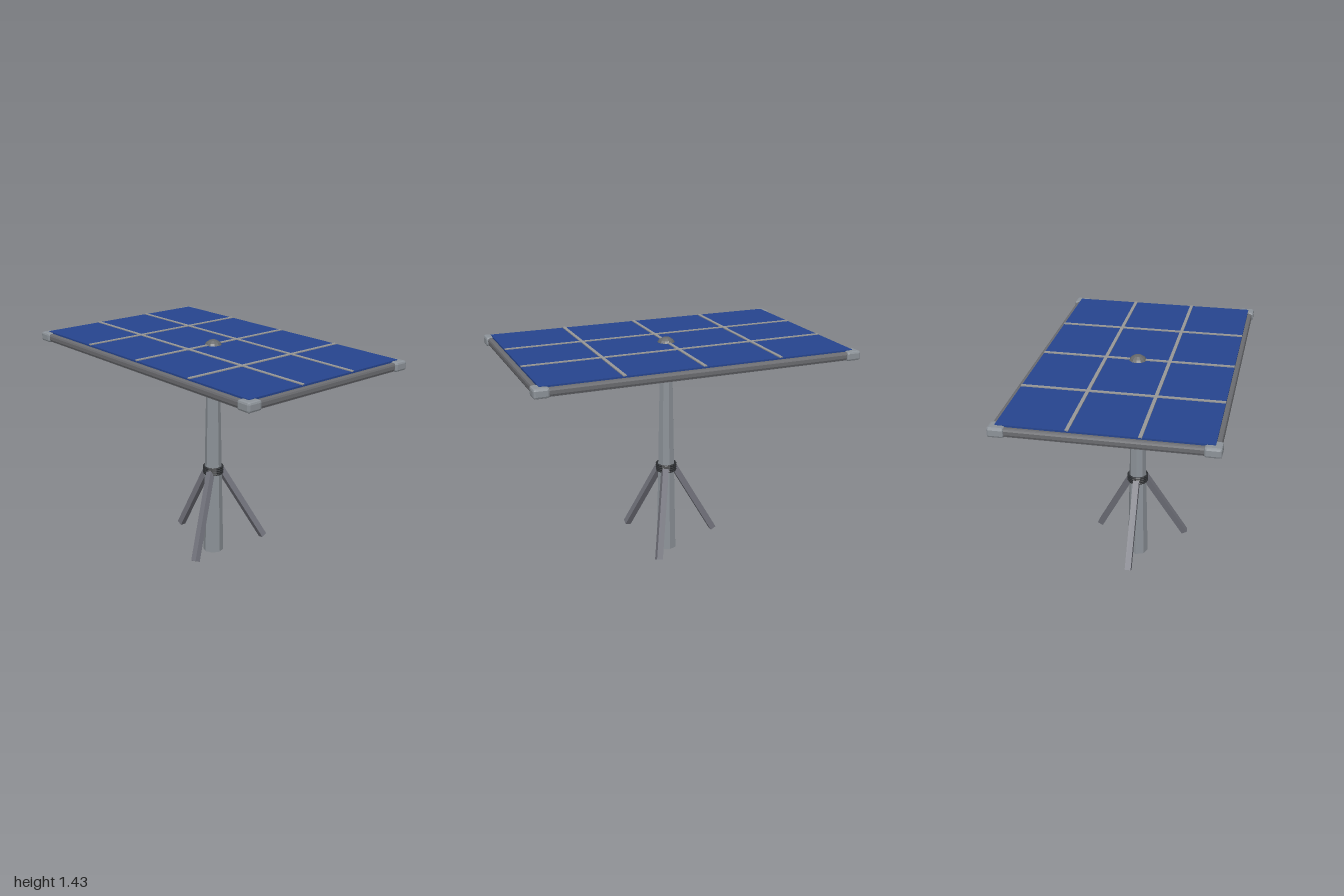
import * as THREE from 'three';
import { RoundedBoxGeometry } from 'three/addons/geometries/RoundedBoxGeometry.js';

const paint = (name, color) => {
  const m = new THREE.MeshStandardMaterial({ color, flatShading: true });
  m.name = name;
  return m;
};

export function createModel() {
  const root = new THREE.Group();
  root.name = 'solarPanelStand';

  const steel = paint('paleSteel', 0x8d9399);
  const strutGrey = paint('strutGrey', 0x74757e);
  const frameGrey = paint('frameGrey', 0x6b6c70);
  const blue = paint('cellBlue', 0x26458f);
  const lineGrey = paint('gridGrey', 0x979797);
  const backing = paint('backingGrey', 0x626368);
  const mount = paint('mountDark', 0x48494b);
  const rubber = paint('rubberBlack', 0x2e3033);
  const domeGrey = paint('domeGrey', 0x66686a);

  const add = (name, geometry, material, x = 0, y = 0, z = 0) => {
    const mesh = new THREE.Mesh(geometry, material);
    mesh.name = name;
    mesh.position.set(x, y, z);
    root.add(mesh);
    return mesh;
  };
  const box = (w, h, d) => new THREE.BoxGeometry(w, h, d);

  // Tapered eight-sided pole with a collar under the panel
  add('pole', new THREE.CylinderGeometry(0.041, 0.067, 1.3, 8), steel, 0, 0.65, 0);
  add('collar', new THREE.CylinderGeometry(0.061, 0.067, 0.047, 8), steel, 0, 1.2895, 0);

  // Stacked clamp rings where the struts meet the pole
  for (let i = 0; i < 4; i++) {
    const ring = add('clampRing', new THREE.TorusGeometry(0.061, 0.0068, 6, 16), rubber, 0, 0.555 + i * 0.0132, 0);
    ring.rotation.x = Math.PI / 2;
  }

  // Three square struts splayed around the pole, tilted about x and z
  for (const angle of [Math.PI / 3, -Math.PI / 3, Math.PI]) {
    const at = (r, y) => new THREE.Vector3(r * Math.cos(angle), y, r * Math.sin(angle));
    const top = at(0.05, 0.57), foot = at(0.338, 0.07);
    const up = top.clone().sub(foot).normalize();
    const mid = top.clone().lerp(foot, 0.5);
    const strut = add('strut', box(0.039, top.distanceTo(foot), 0.039), strutGrey, mid.x, mid.y, mid.z);
    strut.rotation.set(Math.atan2(up.z, up.y), 0, -Math.asin(up.x));
  }

  // Mounting plate, backing sheet and blue cell surface
  add('mountPlate', box(0.168, 0.036, 0.884), mount, 0, 1.33, 0);
  add('backing', box(1.964, 0.04, 1.21), backing, 0, 1.362, 0);
  add('cellSurface', box(1.92, 0.02, 1.17), blue, 0, 1.39, 0);

  // Thin dividers between the cells
  for (const x of [-0.48, 0, 0.48]) add('divider', box(0.02, 0.007, 1.17), lineGrey, x, 1.402, 0);
  for (const z of [-0.195, 0.195]) add('divider', box(1.92, 0.007, 0.02), lineGrey, 0, 1.4015, z);

  // Chamfered frame rails and corner caps
  for (const s of [-1, 1]) {
    add('longRail', new RoundedBoxGeometry(1.86, 0.048, 0.04, 1, 0.014), frameGrey, 0, 1.367, s * 0.593);
    add('shortRail', new RoundedBoxGeometry(0.04, 0.048, 1.1, 1, 0.014), frameGrey, s * 0.97, 1.367, 0);
    for (const t of [-1, 1]) {
      add('cornerCap', new RoundedBoxGeometry(0.092, 0.058, 0.094, 1, 0.013), steel, s * 0.954, 1.367, t * 0.575);
    }
  }

  // Centre dome
  add('dome', new THREE.SphereGeometry(0.062, 12, 8), domeGrey, 0, 1.37, 0);

  return root;
}
